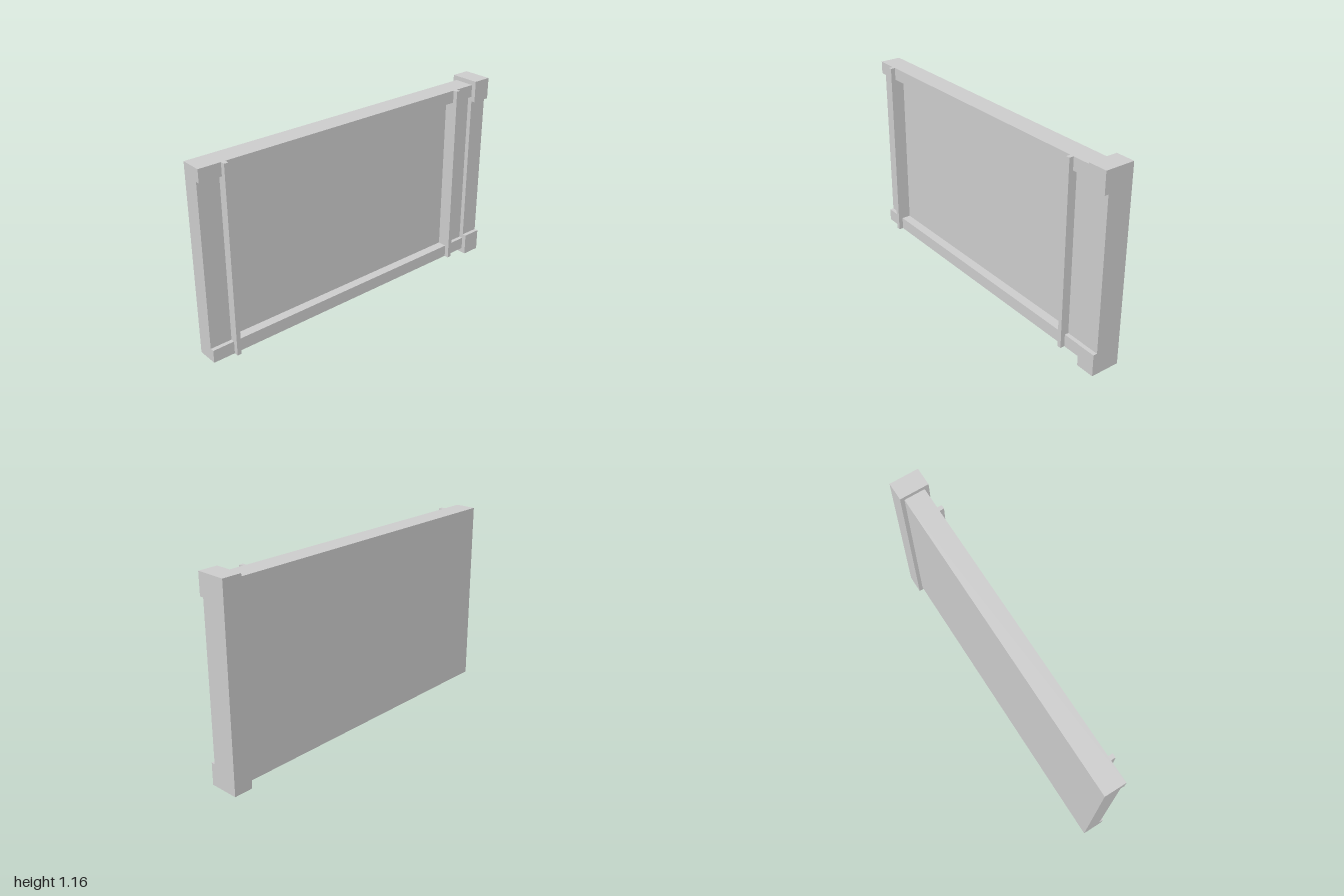
import * as THREE from 'three';

const material = new THREE.MeshStandardMaterial({ color: 0xcccccc, flatShading: true });

// C-shaped side profile (full-depth ends, front recess) swept along x
function recessedBeam(name, { x0, x1, y0, y1, back, front, recess, lip0, lip1 }) {
  const shape = new THREE.Shape([
    [back, y0], [back, y1], [front, y1], [front, lip1],
    [recess, lip1], [recess, lip0], [front, lip0], [front, y0],
  ].map(([z, y]) => new THREE.Vector2(-z, y)));
  const geometry = new THREE.ExtrudeGeometry(shape, { depth: x1 - x0, bevelEnabled: false });
  geometry.rotateY(Math.PI / 2).translate(x0, 0, 0);
  const mesh = new THREE.Mesh(geometry, material);
  mesh.name = name;
  return mesh;
}

// Box given by its extents on each axis
function block(name, [x0, x1], [y0, y1], [z0, z1]) {
  const mesh = new THREE.Mesh(new THREE.BoxGeometry(x1 - x0, y1 - y0, z1 - z0), material);
  mesh.position.set((x0 + x1) / 2, (y0 + y1) / 2, (z0 + z1) / 2);
  mesh.name = name;
  return mesh;
}

export function createModel() {
  const model = new THREE.Group();
  model.name = 'wallPanel';

  // Wide panel with top and bottom rails and a deep centre field
  const panel = {
    x0: -1, x1: 0.887, y0: 0.029, y1: 1.133,
    back: -0.064, front: 0.061, recess: 0.006, lip0: 0.104, lip1: 1.059,
  };
  model.add(recessedBeam('panel', panel));

  // Taller, thicker end post with cap and foot blocks
  model.add(recessedBeam('endPost', {
    x0: 0.887, x1: 1, y0: 0, y1: 1.159,
    back: -0.088, front: 0.088, recess: 0.064, lip0: 0.131, lip1: 1.032,
  }));

  // Slim battens proud of the rails, each edging a shallower outer stile
  for (const [side, x, outerEdge] of [['right', -0.859, panel.x0], ['left', 0.742, panel.x1]]) {
    model.add(block(`${side}Batten`, [x - 0.0125, x + 0.0125], [panel.y0, panel.y1], [panel.recess, 0.088]));
    model.add(block(`${side}Stile`, [Math.min(x, outerEdge), Math.max(x, outerEdge)],
      [panel.lip0, panel.lip1], [panel.recess, 0.037]));
  }
  return model;
}
